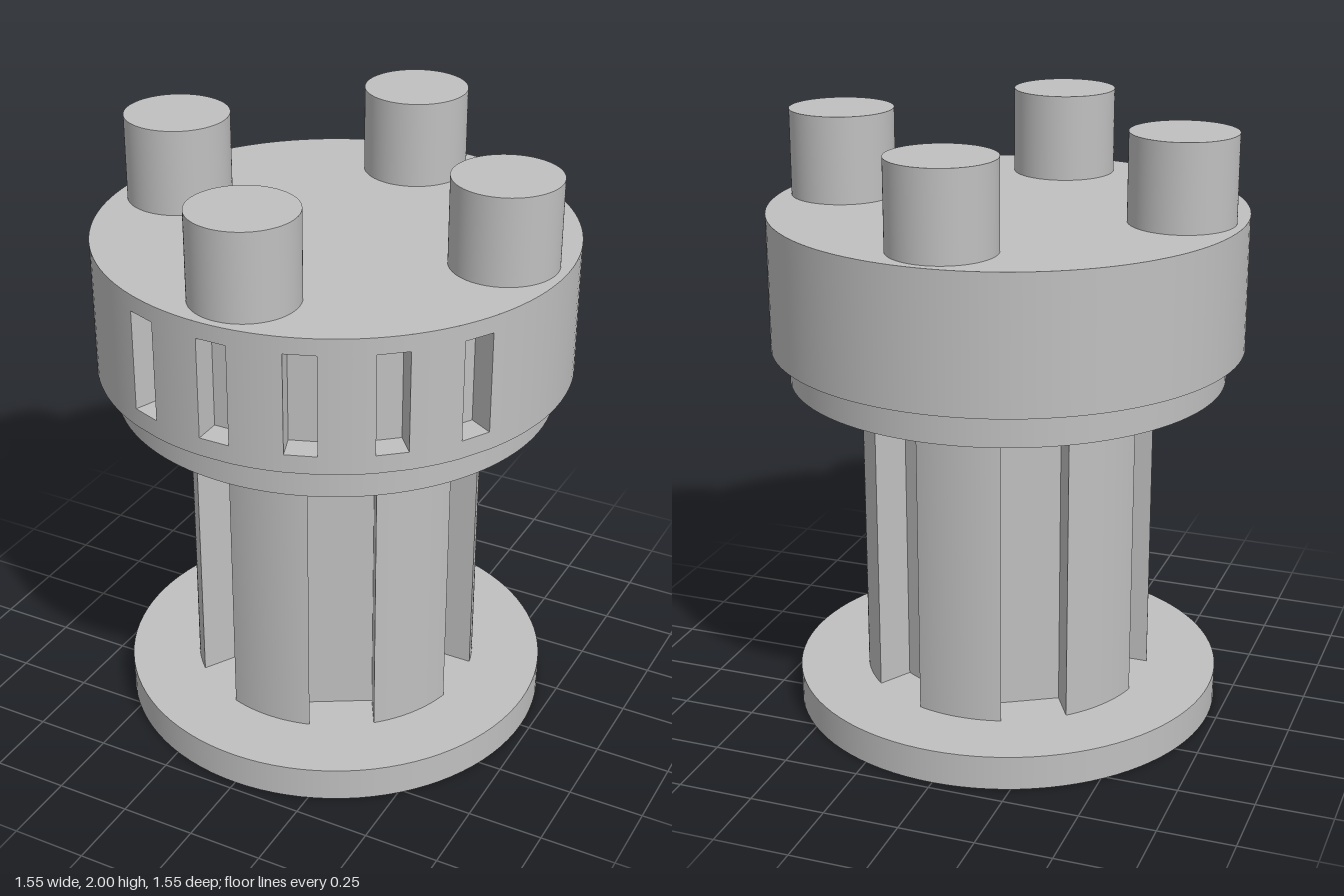
import * as THREE from 'three';
import { toCreasedNormals } from 'three/addons/utils/BufferGeometryUtils.js';

const DEG = Math.PI / 180;

export function createModel() {
  const group = new THREE.Group();
  const grey = new THREE.MeshStandardMaterial({ color: 0xc0c0c0 });
  grey.name = 'grey';

  const add = (name, geometry, x = 0, y = 0, z = 0) => {
    const mesh = new THREE.Mesh(geometry, grey);
    mesh.name = name;
    mesh.position.set(x, y, z);
    group.add(mesh);
    return mesh;
  };
  const disc = (name, r, y0, y1, x = 0, z = 0) =>
    add(name, new THREE.CylinderGeometry(r, r, y1 - y0, 96), x, (y0 + y1) / 2, z);

  // Base plate and the flange under the drum
  disc('basePlate', 0.718, 0, 0.115);
  disc('flange', 0.718, 1.158, 1.27);

  // Column: six rounded ribs with parallel-sided grooves between them
  const R = 0.484, half = 0.108, floor = 0.35;
  const inset = Math.asin(half / R);
  const profile = new THREE.Shape();
  for (let i = 0; i < 6; i++) {
    const groove = (30 + i * 60) * DEG; // groove that follows this rib
    const c = Math.cos(groove), s = Math.sin(groove);
    profile.absarc(0, 0, R, groove - 60 * DEG + inset, groove - inset, false);
    profile.lineTo(floor * c + half * s, floor * s - half * c);
    profile.lineTo(floor * c - half * s, floor * s + half * c);
  }
  profile.closePath();
  let column = new THREE.ExtrudeGeometry(profile, {
    depth: 1.043, bevelEnabled: false, curveSegments: 14,
  });
  // ribs face +z and -z
  column.rotateX(-Math.PI / 2).rotateY(Math.PI / 2);
  column = toCreasedNormals(column, 0.3);
  add('ribbedColumn', column, 0, 0.115, 0);

  // Drum wall: a grid of quads around the axis, left open at the slots
  const DR = 0.777, slotHalf = 0.05, slotFloor = 0.687;
  const slotAngles = [-20, 0, 20, 40, 60];
  const edge = Math.asin(slotHalf / DR) / DEG;
  const rows = [1.27, 1.33, 1.66, 1.715];
  const angles = [];
  for (let a = -180; a <= 180; a += 3) {
    if (!slotAngles.some((s) => Math.abs(a - s) < edge)) angles.push(a);
  }
  slotAngles.forEach((s) => angles.push(s - edge, s + edge));
  angles.sort((a, b) => a - b);

  const positions = [], normals = [], index = [];
  angles.forEach((a, i) => {
    const s = Math.sin(a * DEG), c = Math.cos(a * DEG);
    rows.forEach((y, j) => {
      positions.push(DR * s, y, DR * c);
      normals.push(s, 0, c);
      if (i === angles.length - 1 || j === rows.length - 1) return;
      const middle = (a + angles[i + 1]) / 2;
      if (j === 1 && slotAngles.some((k) => Math.abs(middle - k) < 1)) return;
      const p = i * rows.length + j, q = p + rows.length;
      index.push(p, q, q + 1, p, q + 1, p + 1);
    });
  });
  const wall = new THREE.BufferGeometry();
  wall.setAttribute('position', new THREE.Float32BufferAttribute(positions, 3));
  wall.setAttribute('normal', new THREE.Float32BufferAttribute(normals, 3));
  wall.setIndex(index);
  add('drumWall', wall);

  // Drum end faces
  add('drumTop', new THREE.CircleGeometry(DR, 120).rotateX(-Math.PI / 2), 0, rows[3], 0);
  add('drumUnderside', new THREE.CircleGeometry(DR, 120).rotateX(Math.PI / 2), 0, rows[0], 0);

  // Slot pockets: boxes turned inside out, without the outer face
  const mouth = Math.sqrt(DR * DR - slotHalf * slotHalf);
  const pocket = new THREE.BoxGeometry(slotHalf * 2, rows[2] - rows[1], mouth - slotFloor);
  pocket.translate(0, (rows[1] + rows[2]) / 2, (mouth + slotFloor) / 2);
  const faces = Array.from(pocket.index.array);
  faces.splice(24, 6);
  pocket.setIndex(faces.reverse());
  pocket.clearGroups();
  const n = pocket.attributes.normal;
  for (let i = 0; i < n.count; i++) n.setXYZ(i, -n.getX(i), -n.getY(i), -n.getZ(i));
  slotAngles.forEach((a) => {
    add('slotPocket', pocket).rotation.y = a * DEG;
  });

  // Four pegs on top
  for (let i = 0; i < 4; i++) {
    const a = i * Math.PI / 2;
    disc('peg', 0.172, rows[3], 2, 0.577 * Math.sin(a), 0.577 * Math.cos(a));
  }

  return group;
}
